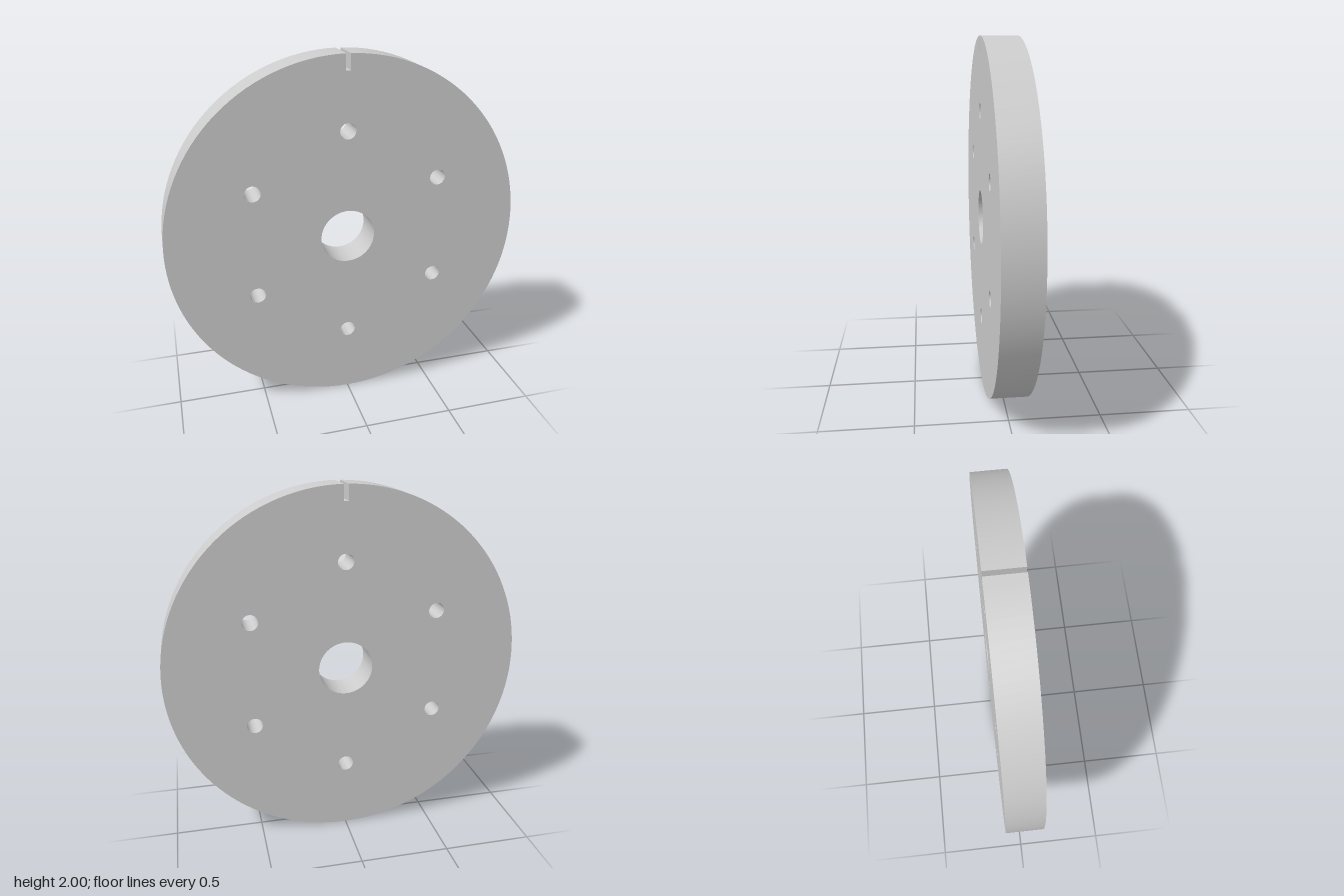
import * as THREE from 'three';
import { toCreasedNormals } from 'three/addons/utils/BufferGeometryUtils.js';

const RADIUS = 1, THICKNESS = 0.2;
const BORE_RADIUS = 0.152;
const BOLT_RADIUS = 0.044, BOLT_CIRCLE = 0.6, BOLT_COUNT = 6;
const SLOT_HALF_WIDTH = 0.013, SLOT_FLOOR = 0.915;

function circleHole(x, y, radius) {
  return new THREE.Path().absarc(x, y, radius, 0, Math.PI * 2, true);
}

export function createModel() {
  const group = new THREE.Group();
  group.name = 'slottedDisc';

  // Round outline, interrupted at the top by a narrow rectangular slot
  const slotAngle = Math.asin(SLOT_HALF_WIDTH / RADIUS);
  const outline = new THREE.Shape();
  outline.absarc(0, 0, RADIUS, Math.PI / 2 + slotAngle, Math.PI * 2.5 - slotAngle, false);
  outline.lineTo(SLOT_HALF_WIDTH, SLOT_FLOOR);
  outline.lineTo(-SLOT_HALF_WIDTH, SLOT_FLOOR);
  outline.closePath();

  // Centre bore and ring of bolt holes
  outline.holes.push(circleHole(0, 0, BORE_RADIUS));
  for (let i = 0; i < BOLT_COUNT; i++) {
    const angle = Math.PI / 2 + (i * Math.PI * 2) / BOLT_COUNT;
    outline.holes.push(circleHole(BOLT_CIRCLE * Math.cos(angle), BOLT_CIRCLE * Math.sin(angle), BOLT_RADIUS));
  }

  // Flat plate with smooth round walls and sharp rims
  const geometry = new THREE.ExtrudeGeometry(outline, {
    depth: THICKNESS, bevelEnabled: false, curveSegments: 64,
  });
  geometry.translate(0, RADIUS, -THICKNESS / 2);

  const disc = new THREE.Mesh(
    toCreasedNormals(geometry, Math.PI / 6),
    new THREE.MeshStandardMaterial({ color: 0xcccccc }),
  );
  disc.name = 'disc';
  group.add(disc);
  return group;
}
